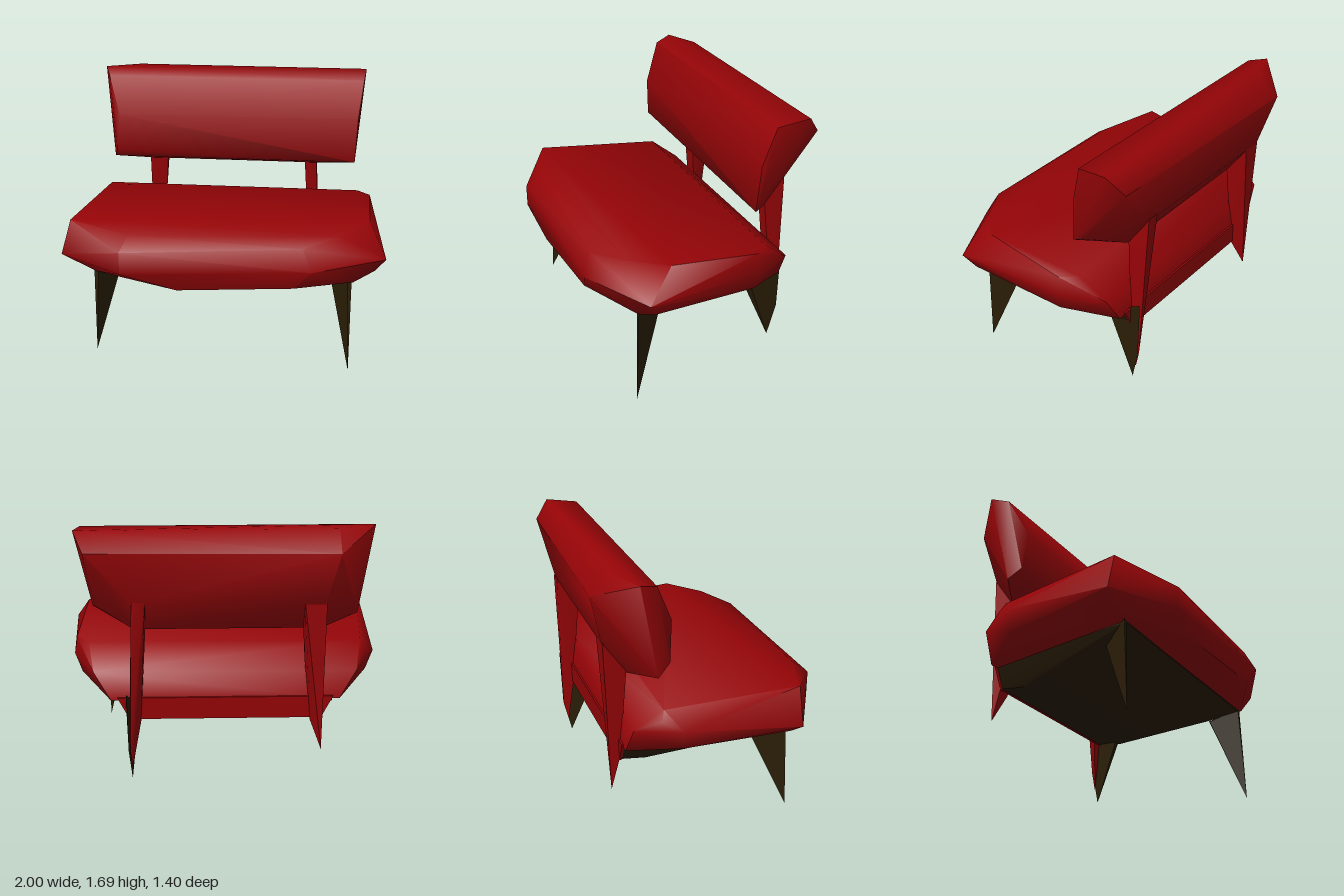
import * as THREE from 'three';
import { ConvexGeometry } from 'three/addons/geometries/ConvexGeometry.js';
import { toCreasedNormals } from 'three/addons/utils/BufferGeometryUtils.js';

const red = new THREE.MeshStandardMaterial({ color: 0x960407 });
red.name = 'red upholstery';
const brown = new THREE.MeshStandardMaterial({ color: 0x2b1e06 });
brown.name = 'dark brown wood';

// A solid wrapped around a few corner points, smooth up to the crease angle
function solid(name, material, points, crease = 0.5) {
  const corners = points.map((p) => new THREE.Vector3(...p));
  const mesh = new THREE.Mesh(toCreasedNormals(new ConvexGeometry(corners), crease), material);
  mesh.name = name;
  return mesh;
}

const mirror = (points) => points.map(([x, y, z]) => [-x, y, z]);

export function createModel() {
  const group = new THREE.Group();
  group.name = 'bench';

  // Seat cushion, with a dropped front left corner
  group.add(solid('seat', red, [
    // top
    [-0.93, 0.965, 0.47], [-0.55, 0.935, 0.6], [0.5, 0.905, 0.64], [0.72, 0.935, 0.5],
    [0.9, 0.955, 0.3], [0.92, 0.915, -0.25], [0.84, 0.91, -0.34], [-0.84, 0.91, -0.34],
    // rim
    [-1, 0.73, 0.47], [-0.59, 0.86, 0.7], [-0.59, 0.72, 0.7], [0.55, 0.78, 0.7],
    [1, 0.78, 0.47], [0.94, 0.8, -0.25], [0.8, 0.78, -0.51], [-0.8, 0.78, -0.51],
    [-0.94, 0.8, -0.25], [-0.87, 0.85, -0.36], [0.87, 0.85, -0.36],
    // underside
    [-0.94, 0.68, 0.42], [0.94, 0.68, 0.42], [-0.9, 0.67, -0.24], [0.9, 0.67, -0.24],
    [-0.78, 0.62, 0.47], [0.81, 0.62, 0.47], [-0.25, 0.62, 0.68], [0.45, 0.66, 0.67],
    [-0.7, 0.6, -0.53], [0.7, 0.6, -0.53],
  ], 1));

  // Backrest cushion, slightly skewed
  group.add(solid('backrest', red, [
    [-0.87, 1.69, -0.48], [-0.65, 1.69, -0.57], [-0.65, 1.58, -0.7], [-0.83, 1.66, -0.37],
    [-0.75, 1.42, -0.26], [-0.81, 1.1, -0.36], [-0.78, 1.17, -0.28], [-0.58, 1.05, -0.48],
    [-0.58, 1.25, -0.62],
    [0.87, 1.69, -0.57], [0.81, 1.58, -0.66], [0.85, 1.66, -0.37], [0.82, 1.42, -0.3],
    [0.81, 1.13, -0.28], [0.79, 1.15, -0.34], [0.55, 1.05, -0.48], [0.55, 1.25, -0.61],
  ], 1.15));

  // Tapered posts carrying the backrest
  group.add(solid('leftPost', red, [
    [0.47, 1.2, -0.47], [0.55, 1.2, -0.47], [0.47, 1.27, -0.62], [0.55, 1.27, -0.62],
    [0.5, 0.85, -0.5], [0.57, 0.85, -0.5], [0.52, 0.46, -0.53], [0.59, 0.5, -0.53],
    [0.58, 0.15, -0.56], [0.59, 0.28, -0.59],
  ], 0.8));
  group.add(solid('rightPost', red, [
    [-0.46, 1.2, -0.47], [-0.59, 1.2, -0.47], [-0.46, 1.27, -0.62], [-0.59, 1.27, -0.62],
    [-0.48, 0.85, -0.5], [-0.57, 0.85, -0.5], [-0.52, 0.46, -0.53], [-0.59, 0.5, -0.53],
    [-0.59, 0.28, -0.59],
  ], 0.8));

  // Frame beneath the seat, closed by an upholstered rail at the back
  const frameSide = [
    [0.78, 0.63, 0.46], [0.78, 0.61, 0.46], [0.68, 0.54, 0.28],
    [0.59, 0.46, -0.37], [0.59, 0.48, -0.52], [0.66, 0.63, -0.52],
  ];
  group.add(solid('frame', brown, [...frameSide, ...mirror(frameSide)], 0.3));
  const railSide = [
    [0.66, 0.62, -0.52], [0.66, 0.62, -0.54], [0.59, 0.475, -0.52], [0.59, 0.475, -0.535],
  ];
  group.add(solid('rearRail', red, [...railSide, ...mirror(railSide)]));

  // Front legs: slim diagonal blades tapering to points; one is shorter
  const frontLeg = (tip) => [
    [0.8, 0.63, 0.46], [0.775, 0.63, 0.46], [0.69, 0.54, 0.28], [0.68, 0.53, 0.29],
    [0.755, 0.28, 0.39], [0.805, tip, 0.48],
  ];
  group.add(solid('frontLeftLeg', brown, frontLeg(0), 0.3));
  group.add(solid('frontRightLeg', brown, mirror(frontLeg(0.07)), 0.3));

  // Back leg covering the outer side of the left post
  group.add(solid('backLeftLeg', brown, [
    [0.54, 0.47, -0.37], [0.61, 0.53, -0.37], [0.61, 0.6, -0.53], [0.6, 0.67, -0.6],
    [0.6, 0.28, -0.59], [0.585, 0.06, -0.54],
  ], 0.3));

  return group;
}
